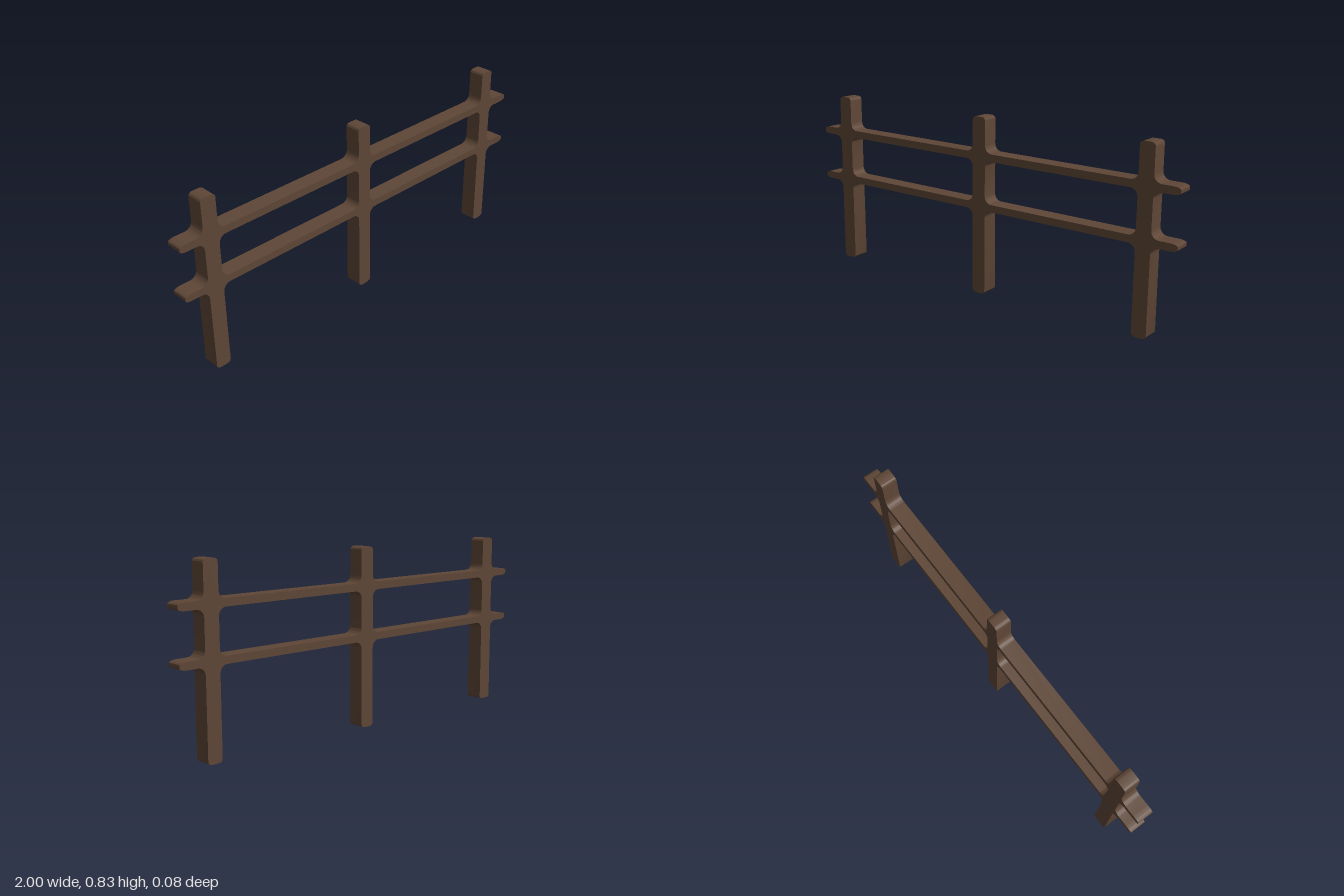
import * as THREE from 'three';
import { toCreasedNormals } from 'three/addons/utils/BufferGeometryUtils.js';

const HEIGHT = 0.835;
const POSTS = [[-0.885, -0.813], [-0.037, 0.033], [0.81, 0.88]]; // left and right edges
const LOW = [0.404, 0.438], HIGH = [0.637, 0.672]; // rail bottoms and tops
const FILLET = [0.035, 0.035], POST_END = [0.02, 0.015], RAIL_END = [0.035, 0.011];

// Trace an axis-aligned outline of [x, y, [rx, ry]] corners, rounding each one
function roundedOutline(path, corners) {
  const n = corners.length;
  const toward = (c, o) => {
    const [x, y, [rx, ry]] = c;
    return [x + Math.sign(o[0] - x) * rx, y + Math.sign(o[1] - y) * ry];
  };
  const mix = (a, c) => [a[0] + (c[0] - a[0]) * 0.55, a[1] + (c[1] - a[1]) * 0.55];
  corners.forEach((c, i) => {
    const a = toward(c, corners[(i + n - 1) % n]);
    const b = toward(c, corners[(i + 1) % n]);
    if (i === 0) path.moveTo(...a); else path.lineTo(...a);
    path.bezierCurveTo(...mix(a, c), ...mix(b, c), ...b);
  });
  path.closePath();
  return path;
}

export function createModel() {
  const wood = new THREE.MeshStandardMaterial({ color: 0x5e4636 });
  wood.name = 'brown wood';

  const first = POSTS[0][0], last = POSTS[POSTS.length - 1][1];
  const corners = [[-1, LOW[0], RAIL_END]];
  // Post feet below the lower rail
  for (const [l, r] of POSTS) {
    corners.push([l, LOW[0], FILLET], [l, 0, POST_END], [r, 0, POST_END], [r, LOW[0], FILLET]);
  }
  // Right rail ends
  corners.push([1, LOW[0], RAIL_END], [1, LOW[1], RAIL_END], [last, LOW[1], FILLET],
    [last, HIGH[0], FILLET], [1, HIGH[0], RAIL_END], [1, HIGH[1], RAIL_END]);
  // Post tops above the upper rail
  for (const [l, r] of [...POSTS].reverse()) {
    corners.push([r, HIGH[1], FILLET], [r, HEIGHT, POST_END], [l, HEIGHT, POST_END], [l, HIGH[1], FILLET]);
  }
  // Left rail ends
  corners.push([-1, HIGH[1], RAIL_END], [-1, HIGH[0], RAIL_END], [first, HIGH[0], FILLET],
    [first, LOW[1], FILLET], [-1, LOW[1], RAIL_END]);
  const shape = roundedOutline(new THREE.Shape(), corners);

  // Openings between the rails
  for (let i = 0; i < POSTS.length - 1; i++) {
    const l = POSTS[i][1], r = POSTS[i + 1][0];
    shape.holes.push(roundedOutline(new THREE.Path(), [
      [l, LOW[1], FILLET], [l, HIGH[0], FILLET], [r, HIGH[0], FILLET], [r, LOW[1], FILLET],
    ]));
  }

  const geometry = new THREE.ExtrudeGeometry(shape, { depth: 1, bevelEnabled: false, curveSegments: 8 });
  // Front face leans back slightly toward the top
  const p = geometry.attributes.position;
  for (let i = 0; i < p.count; i++) {
    p.setZ(i, p.getZ(i) > 0.5 ? 0.041 - 0.006 * p.getY(i) / HEIGHT : -0.04);
  }
  const fence = new THREE.Mesh(toCreasedNormals(geometry, Math.PI / 5), wood);
  fence.name = 'fencePostsAndRails';

  const group = new THREE.Group();
  group.name = 'fence';
  group.add(fence);
  return group;
}
